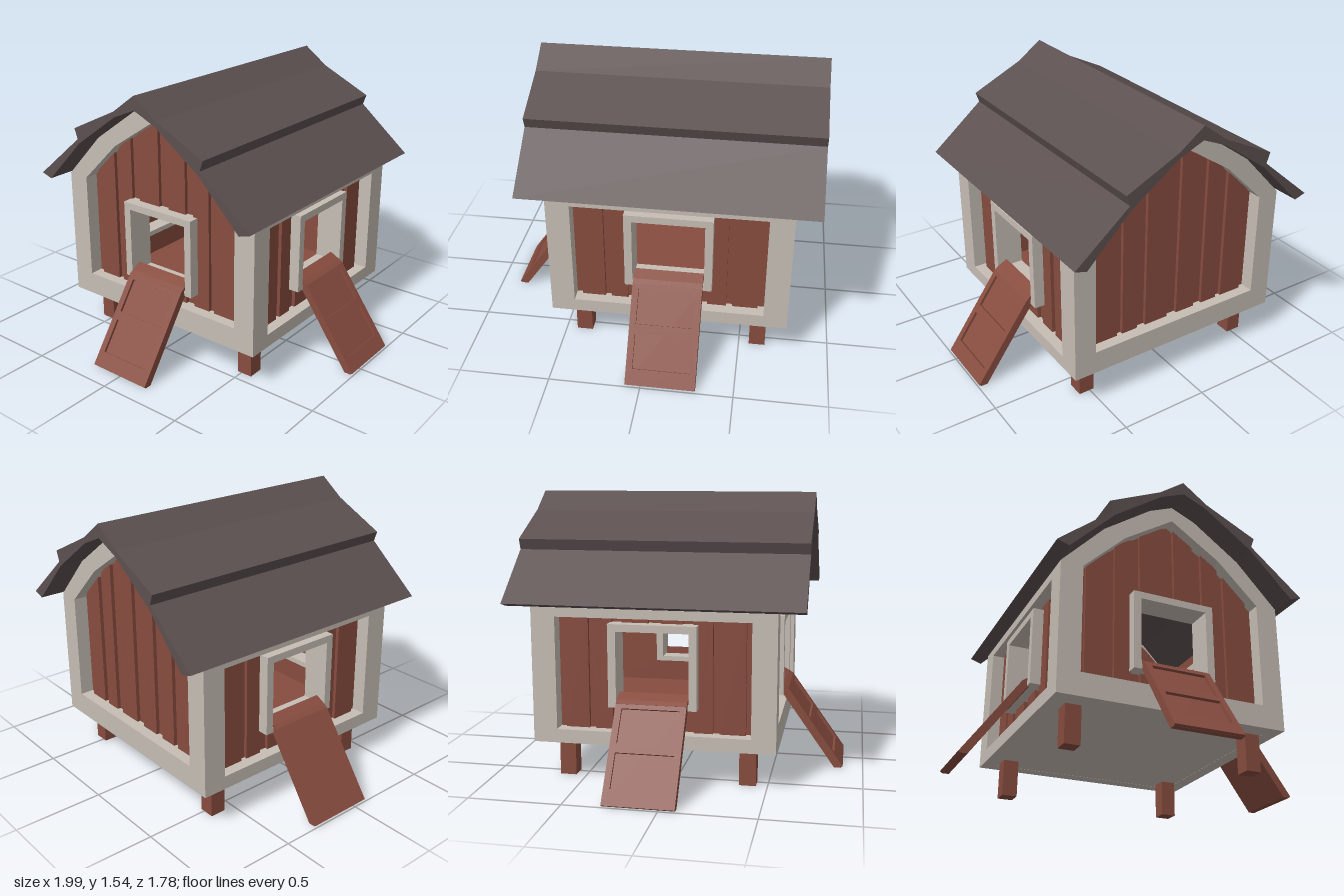
import * as THREE from 'three';

const mat = (name, color) => {
  const m = new THREE.MeshStandardMaterial({ color });
  m.name = name;
  return m;
};

export function createModel() {
  const red = mat('barn red wood', 0x874c3f);
  const trim = mat('pale grey trim', 0xc6bdb4);
  const slate = mat('dark roof', 0x5c5050);

  const model = new THREE.Group();
  model.name = 'coop';
  const house = new THREE.Group();
  house.name = 'house';
  house.position.z = -0.105;
  model.add(house);

  const add = (parent, name, geo, material, x = 0, y = 0, z = 0) => {
    const m = new THREE.Mesh(geo, material);
    m.name = name;
    m.position.set(x, y, z);
    parent.add(m);
    return m;
  };
  const poly = (pts) => new THREE.Shape(pts.map((p) => new THREE.Vector2(p[0], p[1])));
  const rect = (w, y0, y1) => [[-w, y0], [w, y0], [w, y1], [-w, y1]];
  const extrude = (pts, depth, holes = []) => {
    const s = poly(pts);
    s.holes = holes.map(poly);
    return new THREE.ExtrudeGeometry(s, { depth, bevelEnabled: false });
  };
  // Right half of an outline, ending on the centre line, mirrored to the left
  const mirrored = (half) => [...half, ...half.slice(0, -1).reverse().map(([x, y]) => [-x, y])];

  const H = 0.656; // half width of the square house
  const eaves = [[H, 0.95], [0.415, 1.205], [0.14, 1.4], [0, 1.46]];
  const gableOuter = mirrored([[H, 0.21], ...eaves]);
  const gableInner = mirrored([[0.53, 0.34], [0.53, 0.945], [0.29, 1.18], [0, 1.37]]);
  const gableWall = mirrored([[0.57, 0.25], [0.57, 0.97], [0.4, 1.14], [0.3, 1.22], [0, 1.41]]);
  const doorHole = rect(0.195, 0.45, 0.83);
  const doorCut = rect(0.21, 0.44, 0.85);

  // Height of the panel opening in the gable
  const gableTop = (x) => {
    const a = Math.abs(x);
    return a < 0.29 ? 1.37 - (a / 0.29) * 0.19 : 1.18 - ((a - 0.29) / 0.24) * 0.235;
  };

  const boardsX = [[-0.49, -0.36], [-0.325, -0.23], [-0.175, -0.03], [0.035, 0.155], [0.21, 0.315], [0.35, 0.49]];

  // Vertical boards, interrupted by the doorway
  function addBoards(parent, top, bottom, hasDoor) {
    for (const [a, b] of boardsX) {
      const cuts = [a, -0.29, -0.22, 0, 0.22, 0.29, b].filter((x) => x >= a && x <= b);
      for (let i = 0; i < cuts.length - 1; i++) {
        const [x0, x1] = [cuts[i], cuts[i + 1]];
        const t0 = top(x0) + 0.008, t1 = top(x1) + 0.008;
        const inDoor = hasDoor && Math.abs((x0 + x1) / 2) < 0.22;
        const piece = (y, u0, u1) =>
          add(parent, 'board', extrude([[x0, y], [x1, y], [x1, u1], [x0, u0]], 0.025), red, 0, 0, 0.57);
        if (inDoor) {
          piece(bottom - 0.01, 0.43, 0.43);
          piece(0.86, t0, t1);
        } else piece(bottom - 0.01, t0, t1);
      }
    }
  }

  // Sloping ramp with two sunken panels
  function addRamp(parent) {
    const ramp = new THREE.Group();
    ramp.name = 'ramp';
    parent.add(ramp);
    const body = extrude([[0.945, 0], [0.982, 0], [0.668, 0.441], [0.68, 0.45], [0.655, 0.467],
      [0.6, 0.495], [0.6, 0.45], [0.655, 0.41]], 0.38);
    add(ramp, 'rampBoard', body, red, 0.19).rotation.y = -Math.PI / 2;
    const face = extrude(rect(0.19, 0.011, 0.552), 0.015,
      [rect(0.155, 0.098, 0.288), rect(0.155, 0.337, 0.528)]);
    add(ramp, 'rampFrame', face, red, 0, -0.0087, 0.9878).rotation.x = -0.619;
  }

  function addWall(name, angle, gabled, hasDoor) {
    const wall = new THREE.Group();
    wall.name = name;
    wall.rotation.y = angle;
    house.add(wall);
    const holes = hasDoor ? [doorCut] : [];
    const w = H - 0.08;
    const outer = gabled ? gableOuter : rect(w, 0.21, 0.95);
    const inner = gabled ? gableInner : rect(0.525, 0.285, 0.9);
    add(wall, 'wallTrim', extrude(outer, 0.08, [inner]), trim, 0, 0, w);
    add(wall, 'wallPanel', extrude(gabled ? gableWall : rect(0.56, 0.25, 0.94), 0.06, holes), red, 0, 0, 0.515);
    addBoards(wall, gabled ? gableTop : () => 0.9, gabled ? 0.34 : 0.285, hasDoor);
    if (hasDoor) {
      add(wall, 'doorFrame', extrude(rect(0.238, 0.42, 0.87), 0.155, [doorHole]), trim, 0, 0, 0.5);
      addRamp(wall);
    }
  }
  addWall('frontWall', 0, true, true);
  addWall('leftWall', Math.PI / 2, false, true);
  addWall('rightWall', -Math.PI / 2, false, true);
  addWall('backWall', Math.PI, true, false);

  // Floor and legs
  add(house, 'base', new THREE.BoxGeometry(1.3, 0.06, 1.3), trim, 0, 0.241, 0);
  add(house, 'floor', new THREE.BoxGeometry(1.1, 0.02, 1.1), red, 0, 0.281, 0);
  for (const x of [-0.52, 0.52])
    for (const z of [-0.498, 0.498])
      add(house, 'leg', new THREE.BoxGeometry(0.088, 0.22, 0.09), red, x, 0.11, z);

  // Stepped barn roof
  const upper = mirrored([[0.665, 0.952], [0.732, 0.973], [0.425, 1.23], [0.445, 1.288], [0.145, 1.432], [0, 1.538]]);
  const under = [[-0.415, 1.207], [-0.14, 1.402], [0, 1.462], [0.14, 1.402], [0.415, 1.207]];
  add(house, 'roof', extrude([...upper, ...under], 1.59), slate, 0, 0, -0.79);

  return model;
}
